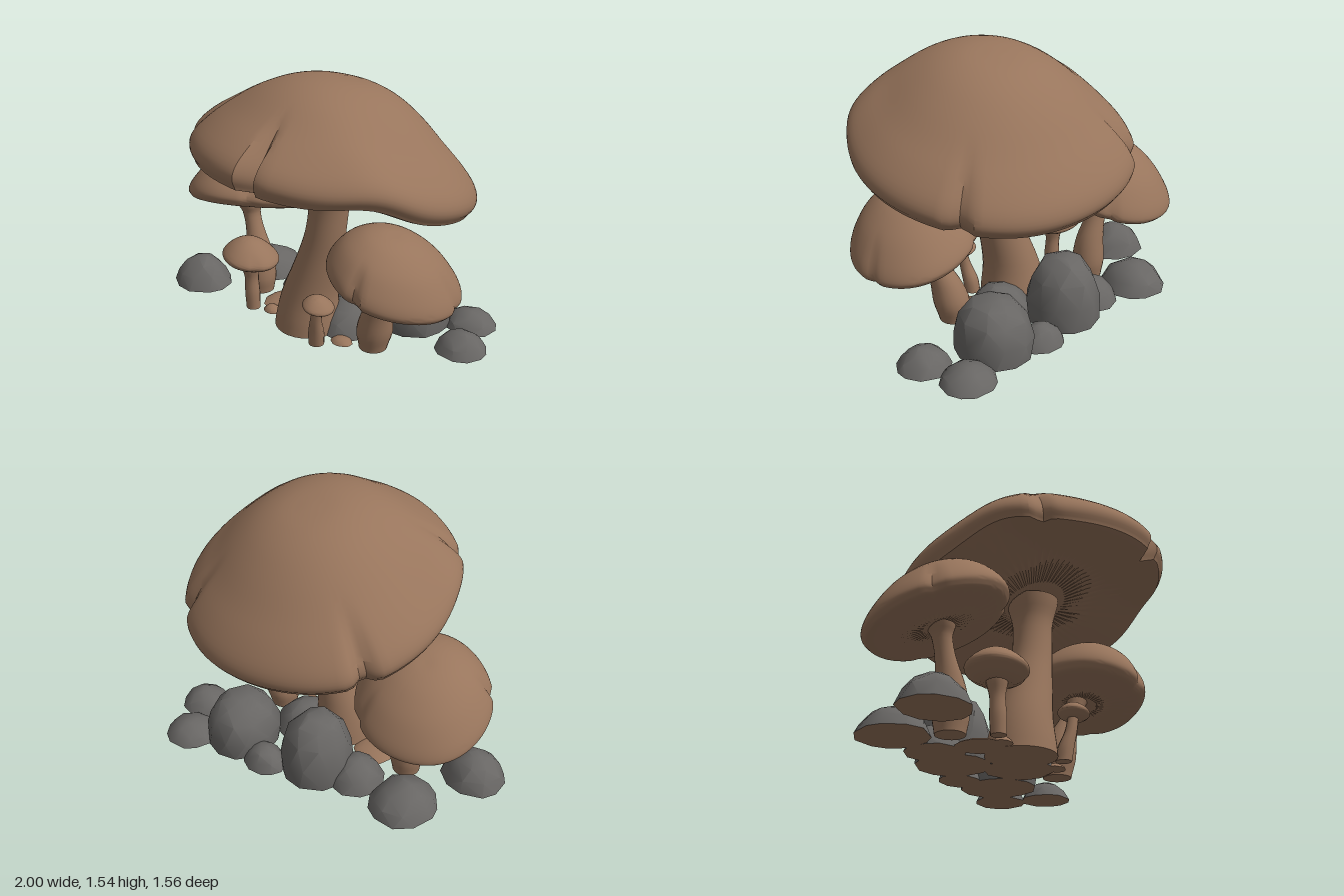
import * as THREE from 'three';
import { toCreasedNormals } from 'three/addons/utils/BufferGeometryUtils.js';
import { ConvexGeometry } from 'three/addons/geometries/ConvexGeometry.js';

const brown = new THREE.MeshStandardMaterial({ color: 0x98755c });
brown.name = 'mushroomBrown';
const grey = new THREE.MeshStandardMaterial({ color: 0x686664 });
grey.name = 'stoneGrey';

// Cap profiles (radius, height), from the middle of the underside over the lip to the crown
const BROAD = [[0, .02], [.45, .05], [.9, .02], [.97, .06], [1, .15], [.965, .27], [.86, .42], [.725, .57], [.55, .76], [.38, .9], [.2, .98], [0, 1]];
const ROUND = [[0, 0], [.5, .03], [.88, .05], [.97, .11], [1, .21], [.92, .41], [.72, .69], [.45, .9], [.2, .99], [0, 1]];
const LENS = [[0, 0], [.5, .06], [.88, .24], [1, .38], [.9, .55], [.62, .78], [.3, .94], [0, 1]];

// Stone rings (height, radius, corners): low domes and full boulders
const LOW = [[0, 1, 11], [.45, .83, 9], [.8, .55, 7], [1, .2, 4]];
const FULL = [[0, .97, 12], [.35, 1, 11], [.7, .84, 9], [.92, .56, 7], [1, .25, 5]];

function seeded(seed) {
  return () => {
    seed = (seed * 16807) % 2147483647;
    return seed / 2147483647;
  };
}

// Lathed cap: split rim, ribbed gills, crown shifted sideways, front lip swollen, whole cap tilted
function cap(name, { at, rx, rz, height, profile, tilt, lean = [0, 0], swell = 0, notches = [], segments = 120, gill = 0.006 }) {
  const curve = new THREE.SplineCurve(profile.map(([r, h]) => new THREE.Vector2(r, h)));
  const pts = curve.getPoints(36);
  pts.forEach(p => { p.x = Math.max(0, p.x); });
  const lip = pts.findIndex(p => p.x > 0.87);
  const geo = new THREE.LatheGeometry(pts, segments);
  const pos = geo.attributes.position;
  for (let i = 0; i < pos.count; i++) {
    let x = pos.getX(i), h = pos.getY(i), z = pos.getZ(i);
    const r = Math.hypot(x, z), angle = Math.atan2(x, z);
    const ring = i % pts.length, spoke = Math.floor(i / pts.length);
    let scale = 1 + r * r * (0.01 * Math.sin(3 * angle + 1) + 0.006 * Math.sin(5 * angle));
    for (const [a, width, depth] of notches) {
      const d = Math.abs(Math.atan2(Math.sin(angle - a), Math.cos(angle - a)));
      scale -= depth * Math.max(0, 1 - d / width) * THREE.MathUtils.smoothstep(r, 0.6, 1);
    }
    const bulge = swell * (1 - 0.9 * h) * Math.exp(-(((z / rz - 0.6) / 0.34) ** 2));
    h *= height;
    if (ring < lip && r > 0.2) h += gill * (spoke % 2);
    x = x * scale * rx + lean[0] * h;
    z = z * scale * rz + lean[1] * h;
    pos.setXYZ(i, x, h + bulge + tilt[0] * x + tilt[1] * z, z);
  }
  const mesh = new THREE.Mesh(toCreasedNormals(geo, 0.6), brown);
  mesh.name = name;
  mesh.position.set(...at);
  return mesh;
}

// Stem: horizontal rings along a curve, stations are [x, y, z, radius]
function stem(name, stations, sides = 20) {
  const path = new THREE.CatmullRomCurve3(stations.map(([x, y, z]) => new THREE.Vector3(x, y, z)));
  const radii = new THREE.SplineCurve(stations.map((s, i) => new THREE.Vector2(i, s[3])));
  const geo = new THREE.CylinderGeometry(1, 1, 1, sides, 20);
  const pos = geo.attributes.position;
  for (let i = 0; i < pos.count; i++) {
    const t = pos.getY(i) + 0.5;
    const c = path.getPoint(t), r = radii.getPoint(t).y;
    pos.setXYZ(i, c.x + pos.getX(i) * r, c.y, c.z + pos.getZ(i) * r);
  }
  const mesh = new THREE.Mesh(toCreasedNormals(geo, 0.7), brown);
  mesh.name = name;
  return mesh;
}

// Stone: faceted half boulder with an earthy flat base
function stone(name, [x, z, rx, height, rz, rings], seed, top) {
  const rand = seeded(seed * 7919 + 13);
  const pts = [];
  rings.forEach(([y, r, n]) => {
    const turn = rand() * 6;
    for (let i = 0; i < n; i++) {
      const a = turn + (i + 0.4 * rand()) / n * Math.PI * 2;
      const k = r * (0.94 + 0.06 * rand());
      const h = y * (0.96 + 0.04 * rand());
      pts.push(new THREE.Vector3(Math.cos(a) * k * rx, h * height, Math.sin(a) * k * rz));
    }
  });
  const geo = toCreasedNormals(new ConvexGeometry(pts), 0.6);
  const pos = geo.attributes.position;
  for (let i = 0; i < pos.count; i += 3) {
    const flat = Math.max(pos.getY(i), pos.getY(i + 1), pos.getY(i + 2)) < 1e-4;
    geo.addGroup(i, 3, flat ? 1 : 0);
  }
  const mesh = new THREE.Mesh(geo, [top, brown]);
  mesh.name = name;
  mesh.position.set(x, 0, z);
  return mesh;
}

function group(name, ...parts) {
  const g = new THREE.Group();
  g.name = name;
  g.add(...parts);
  return g;
}

export function createModel() {
  const model = group('mushroomCluster',
    group('mainMushroom',
      cap('mainCap', {
        at: [0.17, 0.92, 0.03], rx: 0.785, rz: 0.75, height: 0.61, profile: BROAD,
        tilt: [-0.01, 0.25], lean: [0.04, -0.14], swell: 0.065,
        notches: [[0.25, 0.07, 0.14], [2.47, 0.1, 0.07], [-2.12, 0.1, 0.09], [-0.8, 0.08, 0.06]],
      }),
      stem('mainStem', [[0.02, 0, 0.06, 0.195], [0.035, 0.2, 0.06, 0.165], [0.095, 0.42, 0.05, 0.135],
        [0.145, 0.62, 0.04, 0.115], [0.165, 0.82, 0.03, 0.115], [0.165, 0.97, 0.03, 0.15]], 28)),

    group('rightSideMushroom',
      cap('rightSideCap', {
        at: [-0.585, 0.54, 0.01], rx: 0.37, rz: 0.375, height: 0.335, profile: ROUND,
        tilt: [0.18, 0.28], lean: [-0.03, -0.08], segments: 72, gill: 0.004,
        notches: [[-0.85, 0.12, 0.07], [0.9, 0.12, 0.06], [2.6, 0.12, 0.05]],
      }),
      stem('rightSideStem', [[-0.48, 0, 0.02, 0.08], [-0.48, 0.1, 0.02, 0.095], [-0.49, 0.25, 0.02, 0.08],
        [-0.53, 0.4, 0.02, 0.055], [-0.56, 0.5, 0.02, 0.055], [-0.575, 0.56, 0.02, 0.08]])),

    group('leftSideMushroom',
      cap('leftSideCap', {
        at: [0.655, 0.47, 0.01], rx: 0.34, rz: 0.37, height: 0.335, profile: ROUND,
        tilt: [-0.26, 0.12], lean: [0.08, 0.12], segments: 72, gill: 0.004,
        notches: [[0.2, 0.14, 0.08], [2.0, 0.14, 0.05], [-2.3, 0.12, 0.05]],
      }),
      stem('leftSideStem', [[0.46, 0, -0.04, 0.08], [0.47, 0.11, -0.04, 0.102], [0.5, 0.24, -0.03, 0.085],
        [0.56, 0.38, -0.01, 0.055], [0.6, 0.45, 0, 0.05], [0.63, 0.51, 0, 0.07]])),

    group('smallMushroom',
      cap('smallCap', {
        at: [-0.34, 0.265, 0.2], rx: 0.17, rz: 0.165, height: 0.19, profile: LENS,
        tilt: [-0.1, 0.06], segments: 36, gill: 0.003, notches: [[1.1, 0.2, 0.06]],
      }),
      stem('smallStem', [[-0.325, 0, 0.2, 0.042], [-0.33, 0.1, 0.2, 0.045], [-0.335, 0.2, 0.2, 0.042], [-0.34, 0.29, 0.2, 0.06]], 12)),

    group('tinyMushroom',
      cap('tinyCap', {
        at: [0.285, 0.238, 0.215], rx: 0.088, rz: 0.09, height: 0.1, profile: LENS,
        tilt: [-0.15, 0.04], segments: 24, gill: 0.002,
      }),
      stem('tinyStem', [[0.23, 0, 0.18, 0.045], [0.24, 0.08, 0.19, 0.045], [0.26, 0.17, 0.21, 0.034], [0.28, 0.26, 0.215, 0.03]], 10)));

  // Stones: x, z, half width, height, half depth, rings
  const stones = [
    [-0.81, 0.23, 0.2, 0.17, 0.18, LOW], [-0.65, -0.21, 0.2, 0.145, 0.21, LOW],
    [-0.09, -0.32, 0.215, 0.385, 0.225, FULL], [0.41, -0.43, 0.22, 0.315, 0.235, FULL],
    [0.66, -0.63, 0.16, 0.1, 0.155, LOW], [0.8, -0.39, 0.15, 0.11, 0.15, LOW],
    [-0.32, -0.24, 0.17, 0.15, 0.17, LOW], [0.16, -0.5, 0.14, 0.12, 0.12, LOW],
    [0.2, -0.1, 0.2, 0.17, 0.2, LOW],
  ];
  model.add(group('stones', ...stones.map((s, i) => stone('stone', s, i + 1, grey))));

  // Low chips lying around the stems
  const chips = [[-0.22, 0.14, 0.06, 0.035, 0.05, LOW], [0.31, 0.06, 0.07, 0.03, 0.06, LOW], [-0.25, 0.01, 0.13, 0.03, 0.14, LOW]];
  model.add(group('groundChips', ...chips.map((c, i) => stone('groundChip', c, i + 21, brown))));
  return model;
}
